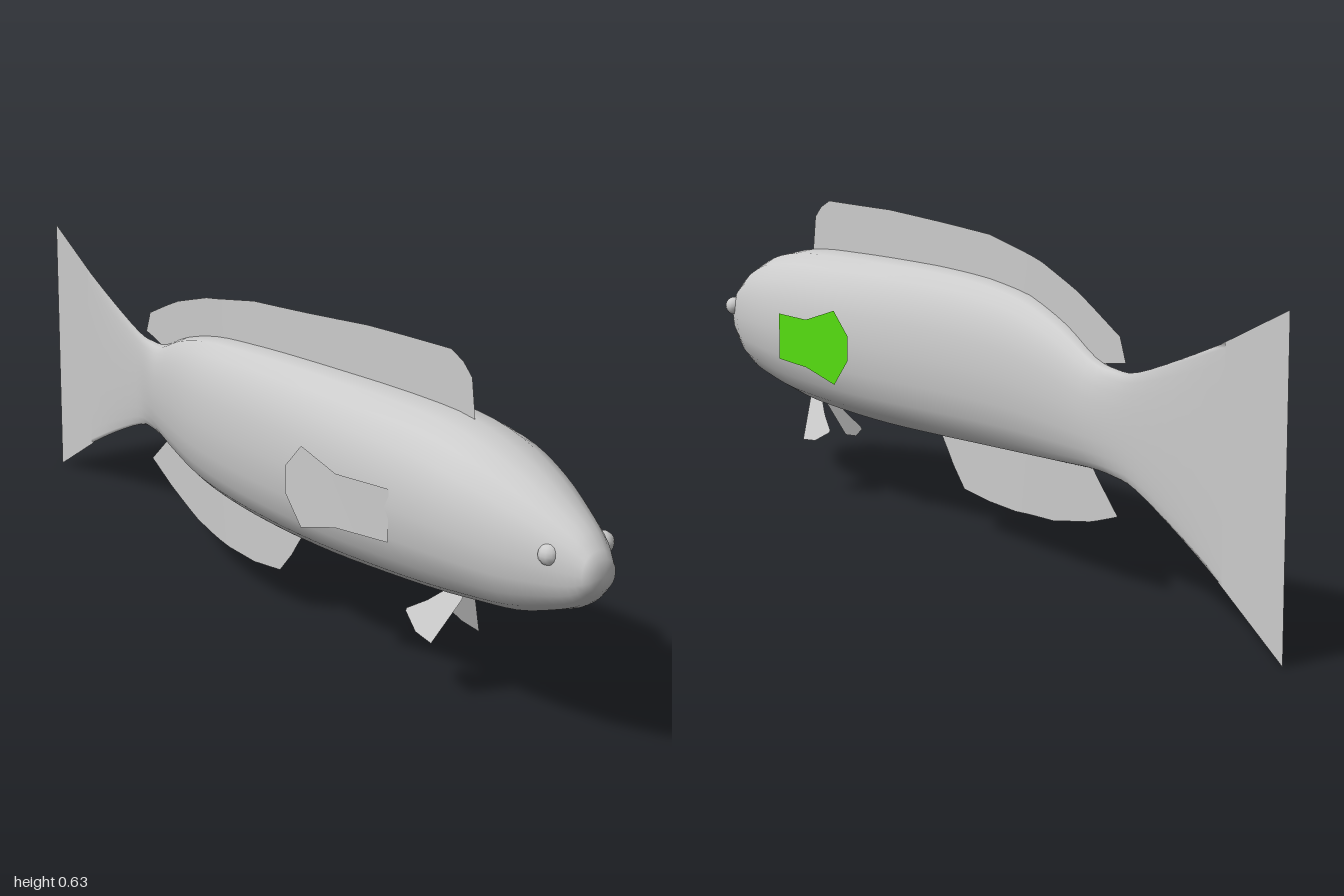
import * as THREE from 'three';

const grey = new THREE.MeshStandardMaterial({ color: 0xcccccc });
const greyThin = new THREE.MeshStandardMaterial({ color: 0xcccccc, side: THREE.DoubleSide });
const green = new THREE.MeshStandardMaterial({ color: 0x55dd11, side: THREE.DoubleSide });

// Body stations from nose to tail: z, centre x, half width, top y, bottom y
const stations = [
  [0.995, 0.012, 0.028, 0.385, 0.33],
  [0.96, 0.014, 0.046, 0.42, 0.295],
  [0.9, 0.015, 0.07, 0.453, 0.268],
  [0.82, 0.017, 0.097, 0.487, 0.242],
  [0.72, 0.018, 0.119, 0.517, 0.227],
  [0.6, 0.018, 0.125, 0.533, 0.21],
  [0.45, 0.008, 0.119, 0.536, 0.198],
  [0.3, -0.006, 0.107, 0.535, 0.191],
  [0.15, -0.018, 0.096, 0.532, 0.191],
  [0, -0.023, 0.086, 0.524, 0.195],
  [-0.15, -0.017, 0.074, 0.507, 0.202],
  [-0.3, 0.003, 0.055, 0.47, 0.213],
  [-0.42, 0.022, 0.036, 0.426, 0.223],
  [-0.5, 0.033, 0.02, 0.416, 0.222],
  [-0.57, 0.04, 0.01, 0.42, 0.212],
  [-0.7, 0.047, 0.006, 0.46, 0.16],
  [-0.83, 0.055, 0.001, 0.505, 0.1],
];

// Smoothed samples along the stations
const spline = (a, b, c) => new THREE.CatmullRomCurve3(
  stations.map(s => new THREE.Vector3(s[a], s[b], s[c])), false, 'catmullrom').getPoints(48);
const widths = spline(0, 1, 2);
const heights = spline(0, 3, 4);

// Centre line of the swimming body, used to place the fins
function centreX(z) {
  for (let i = 1; i < stations.length; i++) {
    const [a, b] = [stations[i - 1], stations[i]];
    if (z >= b[0]) return THREE.MathUtils.mapLinear(Math.min(z, a[0]), a[0], b[0], a[1], b[1]);
  }
  return THREE.MathUtils.mapLinear(z, -0.83, -1, 0.055, 0.065);
}

function makeGeometry(pos, index) {
  const g = new THREE.BufferGeometry();
  g.setAttribute('position', new THREE.Float32BufferAttribute(pos, 3));
  g.setIndex(index);
  g.computeVertexNormals();
  return g;
}

// Lofted body of slightly squared oval rings, with a closed nose
function bodyGeometry() {
  const pos = [], index = [], n = 20;
  const soft = v => Math.sign(v) * Math.abs(v) ** 0.9;
  widths.forEach((w, i) => {
    const { y: top, z: bottom } = heights[i];
    for (let j = 0; j < n; j++) {
      const a = j / n * Math.PI * 2;
      pos.push(w.y + w.z * soft(Math.cos(a)),
        (top + bottom) / 2 + (top - bottom) / 2 * soft(Math.sin(a)), w.x);
    }
  });
  for (let i = 0; i < widths.length - 1; i++) for (let j = 0; j < n; j++) {
    const a = i * n + j, b = i * n + (j + 1) % n;
    index.push(a, a + n, b, b, a + n, b + n);
  }
  const tip = pos.length / 3;
  pos.push(0.012, 0.357, 1);
  for (let j = 0; j < n; j++) index.push(tip, j, (j + 1) % n);
  return makeGeometry(pos, index);
}

// Thin fin from rows of [z, top y, bottom y]; xAt(z, y) bends it sideways
function finGeometry(rows, xAt, steps = 4) {
  const pos = [], index = [];
  const add = (z, t, b) => pos.push(xAt(z, t), t, z, xAt(z, b), b, z);
  rows.forEach((r, i) => {
    const next = rows[i + 1];
    if (!next) return add(...r);
    for (let k = 0; k < steps; k++) add(...r.map((v, c) => THREE.MathUtils.lerp(v, next[c], k / steps)));
  });
  for (let i = 0; i < pos.length / 6 - 1; i++) {
    const a = i * 2;
    index.push(a, a + 1, a + 2, a + 2, a + 1, a + 3);
  }
  return makeGeometry(pos, index);
}

export function createModel() {
  const fish = new THREE.Group();
  fish.name = 'fish';
  const add = (name, geometry, material = greyThin) => {
    const mesh = new THREE.Mesh(geometry, material);
    mesh.name = name;
    fish.add(mesh);
    return mesh;
  };

  add('body', bodyGeometry(), grey);

  // Fins on the centre line
  add('tailFin', finGeometry([[-0.82, 0.502, 0.103], [-1, 0.577, 0.005]], centreX));
  add('dorsalFin', finGeometry([
    [0.645, 0.535, 0.5], [0.635, 0.6, 0.5], [0.61, 0.622, 0.5], [0.575, 0.638, 0.5],
    [0.35, 0.634, 0.5], [0, 0.61, 0.49], [-0.2, 0.575, 0.47], [-0.35, 0.535, 0.42],
    [-0.42, 0.51, 0.415], [-0.51, 0.475, 0.428], [-0.53, 0.432, 0.43],
  ], centreX));
  add('analFin', finGeometry([
    [0.17, 0.22, 0.19], [0.13, 0.22, 0.135], [0.09, 0.22, 0.092], [0, 0.22, 0.082],
    [-0.1, 0.22, 0.081], [-0.25, 0.23, 0.093], [-0.4, 0.235, 0.122],
    [-0.43, 0.21, 0.13], [-0.505, 0.155, 0.152],
  ], centreX));

  // Paired pelvic fins and eyes
  for (const [side, s] of [['left', 1], ['right', -1]]) {
    add(side + 'PelvicFin', finGeometry(
      [[0.645, 0.225, 0.205], [0.61, 0.22, 0.12], [0.56, 0.18, 0.125], [0.515, 0.153, 0.148]],
      (z, y) => 0.015 + s * (0.01 + (0.215 - y) * 0.45), 1));
    const eye = add(side + 'Eye', new THREE.SphereGeometry(0.02, 12, 8), grey);
    eye.position.set(0.02 + s * 0.055, 0.38, 0.92);
  }

  // Pectoral fins, spreading from each flank
  const pectoral = [[0.57, 0.405, 0.308], [0.45, 0.405, 0.305], [0.355, 0.433, 0.28], [0.31, 0.385, 0.335]];
  const spread = { 0.57: [0.143, -0.106], 0.45: [0.143, -0.135], 0.355: [0.129, -0.145], 0.31: [0.122, -0.15] };
  add('leftPectoralFin', finGeometry(pectoral, z => spread[z][0], 1), green);
  add('rightPectoralFin', finGeometry(pectoral, z => spread[z][1], 1));
  return fish;
}
